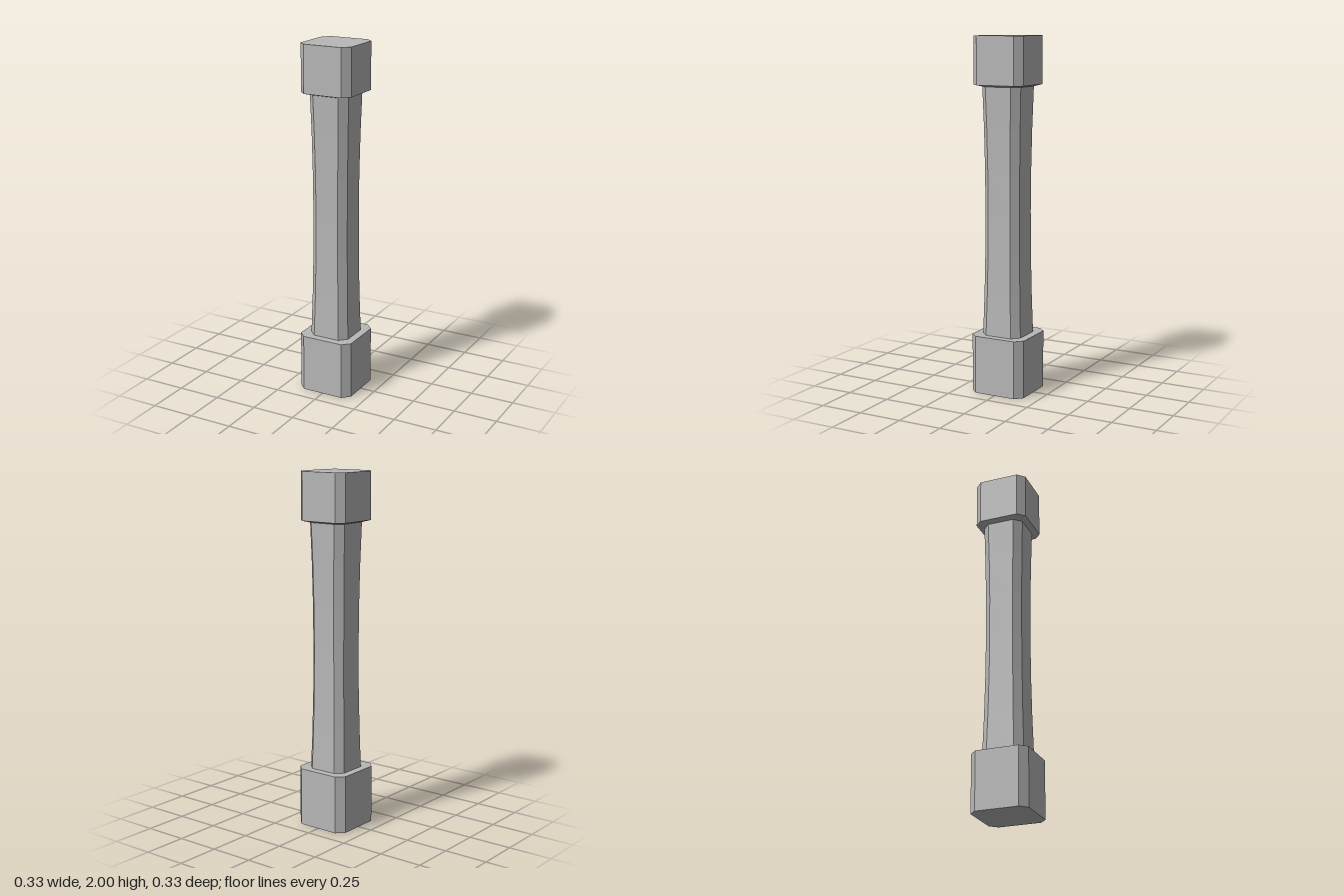
import * as THREE from 'three';

// Square ring with cut corners: half width w, half length of the flat side f
function ring(y, w, f) {
  return [[w, -f], [w, f], [f, w], [-f, w], [-w, f], [-w, -f], [-f, -w], [f, -w]]
    .map(([x, z]) => [x, y, z]);
}

// Flat-shaded closed solid through [y, w, f] sections, from bottom to top
function loft(sections) {
  const rings = sections.map((s) => ring(...s));
  const pos = [];
  const tri = (...corners) => corners.forEach((p) => pos.push(...p));
  for (let k = 0; k < rings.length - 1; k++) {
    const lo = rings[k], hi = rings[k + 1];
    for (let i = 0; i < 8; i++) {
      const j = (i + 1) % 8;
      tri(lo[i], hi[i], hi[j]);
      tri(lo[i], hi[j], lo[j]);
    }
  }
  const bottom = rings[0], top = rings[rings.length - 1];
  for (let i = 1; i < 7; i++) {
    tri(bottom[0], bottom[i], bottom[i + 1]);
    tri(top[0], top[i + 1], top[i]);
  }
  const geo = new THREE.BufferGeometry();
  geo.setAttribute('position', new THREE.Float32BufferAttribute(pos, 3));
  geo.computeVertexNormals();
  return geo;
}

export function createModel() {
  const group = new THREE.Group();
  const stone = new THREE.MeshStandardMaterial({ color: 0xb8b8b8 });
  stone.name = 'grey stone';

  const add = (name, sections) => {
    const mesh = new THREE.Mesh(loft(sections), stone);
    mesh.name = name;
    group.add(mesh);
  };

  // Base block
  add('base', [[0, 0.163, 0.122], [0.33, 0.163, 0.122]]);

  // Shaft, gently waisted in the middle
  const shaft = [];
  const steps = 6;
  for (let i = 0; i <= steps; i++) {
    const t = i / steps;
    const flare = (2 * t - 1) ** 2;
    shaft.push([0.33 + 1.4 * t, 0.107 + 0.012 * flare, 0.068 + 0.01 * flare]);
  }
  add('shaft', shaft);

  // Capital block with a slightly sloping underside
  add('capital', [[1.724, 0.119, 0.078], [1.734, 0.153, 0.113], [2, 0.153, 0.113]]);

  return group;
}
